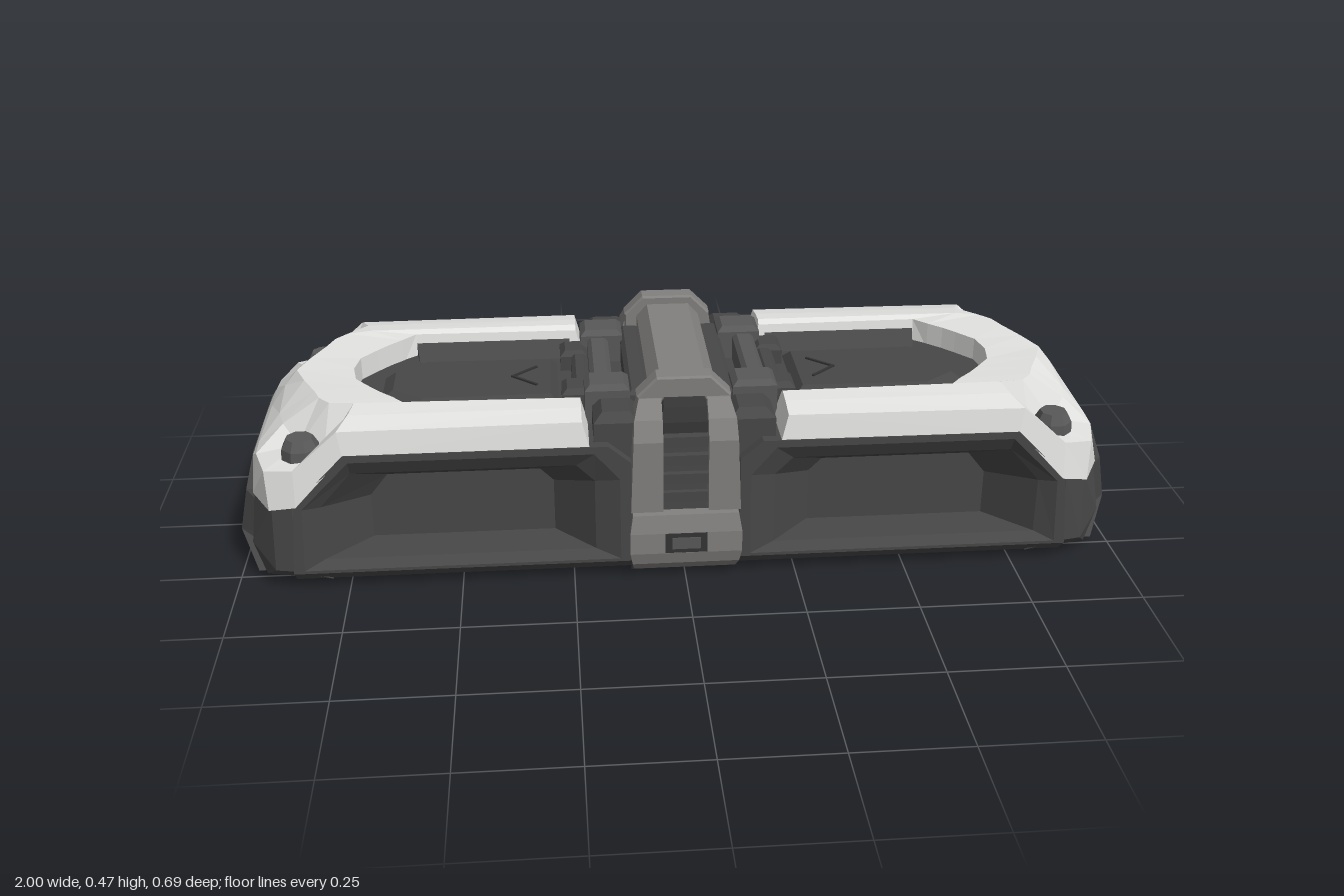
import * as THREE from 'three';
import { ConvexGeometry } from 'three/addons/geometries/ConvexGeometry.js';

const paint = (name, color) => {
  const m = new THREE.MeshStandardMaterial({ color });
  m.name = name;
  return m;
};
const V = (p) => new THREE.Vector3(...p);
const flip = (pts, sx, sz) => pts.map(([x, y, z]) => [x * sx, y, z * sz]);
const bothZ = (pts) => [...pts, ...flip(pts, 1, -1)];
const bothX = (pts) => [...pts, ...flip(pts, -1, 1)];

// Flat-shaded solid from closed rings of equal size, capped at both ends and turned outwards
function loft(rings) {
  const tris = [];
  const n = rings[0].length;
  const add = (a, b, c) => {
    const area = b.clone().sub(a).cross(c.clone().sub(a)).length();
    if (area > 1e-8) tris.push([a, b, c]);
  };
  const R = rings.map((r) => r.map(V));
  for (let i = 0; i + 1 < R.length; i++) {
    for (let j = 0; j < n; j++) {
      const k = (j + 1) % n;
      add(R[i][j], R[i][k], R[i + 1][k]);
      add(R[i][j], R[i + 1][k], R[i + 1][j]);
    }
  }
  const cap = (r, reverse) => {
    const c = r.reduce((s, p) => s.add(p), new THREE.Vector3()).divideScalar(n);
    r.forEach((p, j) => {
      const q = r[(j + 1) % n];
      if (reverse) add(c, q, p); else add(c, p, q);
    });
  };
  cap(R[0], true);
  cap(R[R.length - 1], false);
  const volume = tris.reduce((s, [a, b, c]) => s + a.dot(b.clone().cross(c)), 0);
  const pos = tris.flatMap(([a, b, c]) => (volume < 0 ? [a, c, b] : [a, b, c]));
  const g = new THREE.BufferGeometry().setFromPoints(pos);
  g.computeVertexNormals();
  return g;
}

export function createModel() {
  const light = paint('light shell', 0xe2e2e0);
  const dark = paint('dark body', 0x474747);
  const mid = paint('grey metal', 0x82807e);
  const trim = paint('dark trim', 0x585858);
  const black = paint('near black', 0x343434);

  const model = new THREE.Group();
  model.name = 'crate';
  const put = (name, geo, mat) => {
    const m = new THREE.Mesh(geo, mat);
    m.name = name;
    model.add(m);
    return m;
  };
  const hull = (name, pts, mat) => put(name, new ConvexGeometry(pts.map(V)), mat);
  const box = (name, mat, x0, x1, y0, y1, z0, z1) =>
    put(name, new THREE.BoxGeometry(Math.abs(x1 - x0), y1 - y0, Math.abs(z1 - z0))
      .translate((x0 + x1) / 2, (y0 + y1) / 2, (z0 + z1) / 2), mat);
  // Block whose top is inset by c
  const block = (name, mat, x0, x1, y0, y1, z0, z1, c, s = 1, t = 1) => {
    const pts = [];
    for (const [x, d] of [[x0, 1], [x1, -1]]) {
      for (const [z, e] of [[z0, 1], [z1, -1]]) {
        pts.push([x, y0, z], [x, y1 - c, z], [x + d * c, y1, z + e * c]);
      }
    }
    return hull(name, flip(pts, s, t), mat);
  };
  const at = (pts, z) => pts.map(([x, y]) => [x, y, z]);
  const octagon = (y, r) => Array.from({ length: 8 }, (_, i) => {
    const a = (i + .5) * Math.PI / 4;
    return [r * Math.cos(a), y, r * Math.sin(a)];
  });

  // Side bay outlines: base, frame face, frame lip, recess mouth, recess back
  const base = [[.12, .01], [.87, .01], [.855, .215], [.74, .332], [.17, .332], [.12, .29]];
  const face = [[.12, .045], [.87, .045], [.855, .215], [.74, .332], [.17, .332], [.12, .29]];
  const lip = [[.145, .052], [.845, .052], [.838, .205], [.73, .315], [.2, .315], [.145, .25]];
  const mouth = [[.2, .07], [.8, .07], [.8, .2], [.73, .28], [.24, .28], [.2, .24]];
  const back = [[.29, .075], [.7, .075], [.7, .18], [.66, .23], [.32, .23], [.29, .2]];

  // Shell sections from the front edge round to the middle of the end:
  // inner low, inner top, crest, ledge, outer top, outer low
  const shell = [
    [[.21, .335, .19], [.225, .393, .2], [.225, .402, .215], [.225, .398, .26], [.225, .388, .314], [.21, .33, .322]],
    [[.61, .335, .19], [.61, .395, .2], [.72, .404, .21], [.73, .398, .26], [.75, .385, .315], [.74, .33, .324]],
    [[.64, .335, .165], [.64, .396, .165], [.775, .402, .2], [.79, .305, .235], [.85, .296, .315], [.85, .212, .327]],
    [[.67, .335, .135], [.67, .396, .135], [.8, .402, .17], [.85, .302, .2], [.915, .29, .298], [.91, .2, .312]],
    [[.695, .335, .105], [.695, .396, .105], [.815, .401, .13], [.885, .34, .165], [.945, .285, .2], [.958, .2, .222]],
    [[.73, .335, .06], [.73, .396, .06], [.845, .399, .065], [.9, .34, .11], [.945, .29, .15], [.96, .264, .16]],
    [[.74, .335, 0], [.74, .396, 0], [.87, .397, 0], [.9, .36, 0], [.935, .31, 0], [.955, .278, 0]],
  ];
  const shellRings = [...shell, ...shell.slice(0, -1).reverse().map((r) => flip(r, 1, -1))];

  // End plate: rim and the trapezoid recess
  const mirrorRing = (pts) => [...pts, ...flip(pts, 1, -1).reverse()];
  const endBack = mirrorRing([[.87, .02, .25], [.87, .09, .25], [.87, .2, .215], [.87, .268, .16]]);
  const endRim = mirrorRing([[.96, .012, .245], [1, .09, .185], [.975, .2, .205], [.96, .268, .155]]);
  const endMouth = mirrorRing([[.999, .092, .115], [.999, .094, .115], [.979, .18, .08], [.979, .182, .08]]);
  const endFloor = mirrorRing([[.978, .094, .108], [.978, .096, .108], [.962, .174, .076], [.962, .176, .076]]);

  for (const s of [1, -1]) {
    const half = (pts) => flip(pts, s, 1);

    // Core and ends
    box('core', dark, s * .1, s * .8, .012, .343, -.195, .195);
    hull('endCorners', half(bothZ([
      [.79, .01, .29], [.94, .01, .255], [.86, .05, .322], [.91, .05, .312], [.965, .09, .25],
      [.86, .212, .318], [.905, .21, .306], [.955, .2, .217], [.94, .255, .15], [.82, .27, .18],
    ])), dark);
    put('endPlate', loft([endBack, endRim, endMouth, endFloor].map(half)), dark);
    put('shell', loft(shellRings.map(half)), light);

    // Sunken lid: sloping surround and raised panel
    hull('lidPanel', half(bothZ([
      [.27, .34, .12], [.42, .34, .1], [.6, .34, .125], [.68, .34, .06],
      [.29, .362, .1], [.42, .362, .085], [.58, .362, .105], [.65, .362, .05],
    ])), dark);
    for (const t of [1, -1]) {
      hull('lidSlope', flip([
        [.24, .34, .14], [.24, .34, .2], [.24, .375, .2],
        [.6, .34, .14], [.61, .34, .2], [.61, .375, .2],
      ], s, t), dark);
      const mark = box('lidChevron', black, -.04, .04, .362, .366, -.003, .003);
      mark.position.set(s * .35, 0, t * .025);
      mark.rotation.y = s * t * .75;

      // Side bay
      put('sideBay', loft([
        at(base, .19), at(base, .285), at(face, .325), at(lip, .325),
        at(mouth, .305), at(back, .215),
      ].map((r) => flip(r, s, t))), dark);

      // Corner stud
      put('cornerStud', loft([octagon(.28, .045), octagon(.32, .042), octagon(.342, .03)]), trim)
        .position.set(s * .84, 0, t * .241);

      // Hinge brackets beside the bar
      block('hingeBracket', trim, .115, .215, .3, .422, .115, .205, .012, s, t);
      block('hingeFoot', dark, .2, .265, .3, .39, .07, .15, .012, s, t);
      block('shoulder', dark, .1, .2, .25, .395, .19, .3, .02, s, t);

      // Clamp pillar
      hull('clampPillar', flip([
        [.05, .17, .28], [.122, .17, .28], [.05, .17, .332], [.122, .17, .332],
        [.05, .34, .332], [.115, .34, .332], [.05, .385, .312], [.112, .385, .312],
        [.05, .42, .275], [.1, .42, .275], [.05, .42, .23], [.1, .42, .23],
        [.12, .34, .23], [.122, .17, .23],
      ], s, t), mid);
    }
    block('hingeRail', trim, .15, .2, .3, .408, -.12, .12, .01, s);
    block('hingeStrip', dark, .2, .24, .3, .385, -.08, .08, .01, s);
    block('barSide', dark, .07, .12, .3, .405, -.2, .2, .01, s);
  }

  // Centre band and top bar
  hull('centreBand', bothX(bothZ([
    [.12, 0, .285], [.12, .045, .315], [.12, .32, .3], [.12, .37, .2],
  ])), dark);
  hull('topBar', bothX(bothZ([
    [.075, .36, .205], [.075, .425, .205], [.05, .455, .2],
  ])), mid);

  for (const t of [1, -1]) {
    // Lower clamp with window
    hull('clampBase', flip(bothX([
      [.115, .002, .27], [.115, .005, .293], [.12, .04, .333], [.125, .07, .342],
      [.125, .12, .342], [.118, .162, .333], [.118, .165, .28],
    ]), 1, t), mid);
    box('clampWindow', black, -.047, .047, .072, .12, t * .339, t * .344);
    box('clampLatch', trim, -.032, .032, .082, .11, t * .341, t * .346);

    // Ladder slats between the pillars
    for (let i = 0; i < 4; i++) {
      const y = .185 + i * .045;
      box('slat', dark, -.05, .05, y, y + .025, t * .29, t * .318);
    }

    // Arched cap over a dark core
    const arch = new THREE.Shape([[-.1, .39], [-.1, .425], [-.058, .467], [.058, .467],
      [.1, .425], [.1, .39], [.065, .39], [.045, .425], [-.045, .425], [-.065, .39]]
      .map(([x, y]) => new THREE.Vector2(x, y)));
    const geo = new THREE.ExtrudeGeometry(arch, { depth: .04, bevelEnabled: true, bevelSize: .004, bevelThickness: .006, bevelSegments: 1 });
    put('archCap', geo.translate(0, -.004, t * .245 - .02), mid);
    hull('archCore', flip(bothX([
      [.055, .3, .2], [.055, .3, .3], [.055, .37, .295], [.045, .4, .28], [.045, .425, .255], [.045, .425, .2],
    ]), 1, t), black);
  }
  return model;
}
